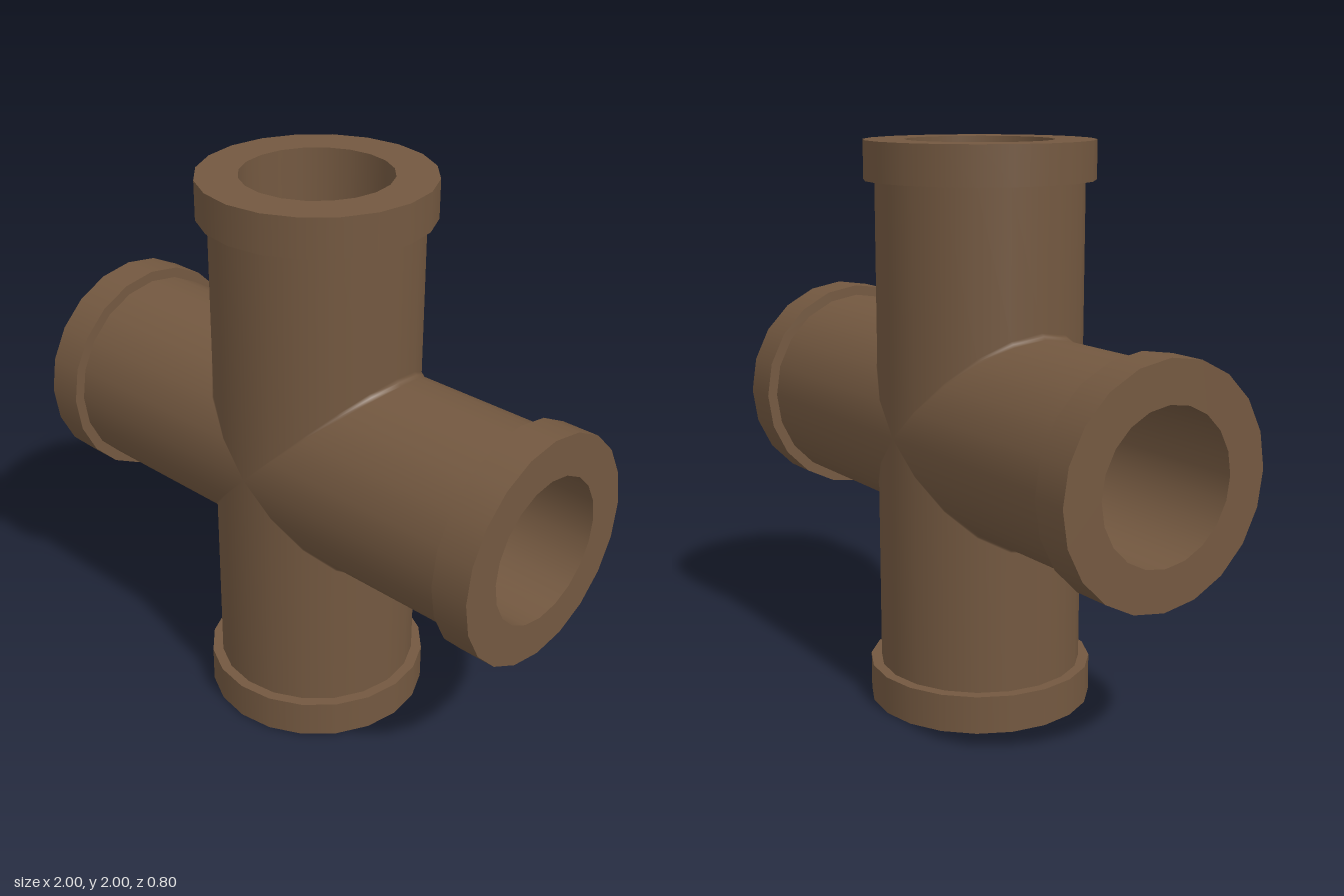
import * as THREE from 'three';

const SIDES = 20;
const PIPE = 0.362, COLLAR = 0.4, BORE = 0.257;
const STEP = 0.865, END = 1, FILLET = 0.02;

// Surface of revolution about y from [radius, height] points
function lathe(points) {
  return new THREE.LatheGeometry(points.map(([r, y]) => new THREE.Vector2(r, y)), SIDES);
}

// Outer pipe wall, mitred against its neighbours with a small fillet in the corner
function pipeWall() {
  const g = lathe([[PIPE, 0], [PIPE, 0.1], [PIPE, STEP]]);
  const p = g.attributes.position, n = g.attributes.normal;
  const v = new THREE.Vector3();
  for (let i = 0; i < p.count; i++) {
    const x = p.getX(i), a = Math.abs(x), f = FILLET * (a / PIPE) ** 2;
    if (i % 3 === 0) {
      p.setXYZ(i, Math.sign(x) * (a + f / 2), a + f / 2, p.getZ(i));
      v.set(x, a, 2 * p.getZ(i)).normalize();
      n.setXYZ(i, v.x, v.y, v.z);
    } else if (i % 3 === 1) {
      p.setY(i, a + f);
    }
  }
  return g;
}

// Inner wall, mitred where the two bores cross
function boreWall() {
  const g = lathe([[BORE, END], [BORE, 0]]);
  const p = g.attributes.position;
  for (let i = 1; i < p.count; i += 2) p.setY(i, Math.abs(p.getX(i)));
  return g;
}

export function createModel() {
  const brown = new THREE.MeshStandardMaterial({ color: 0x735840 });
  brown.name = 'brown';

  const parts = {
    pipe: pipeWall(),
    bore: boreWall(),
    collarStep: lathe([[PIPE, STEP], [COLLAR, STEP]]),
    collarSide: lathe([[COLLAR, STEP], [COLLAR, END]]),
    collarFace: lathe([[COLLAR, END], [BORE, END]]),
  };

  const model = new THREE.Group();
  model.name = 'crossPipeFitting';

  // Four identical arms around the centre
  ['topArm', 'leftArm', 'bottomArm', 'rightArm'].forEach((name, i) => {
    const arm = new THREE.Group();
    arm.name = name;
    for (const [part, geometry] of Object.entries(parts)) {
      const mesh = new THREE.Mesh(geometry, brown);
      mesh.name = part;
      arm.add(mesh);
    }
    arm.rotation.z = -i * Math.PI / 2;
    arm.position.y = 1;
    model.add(arm);
  });
  return model;
}
